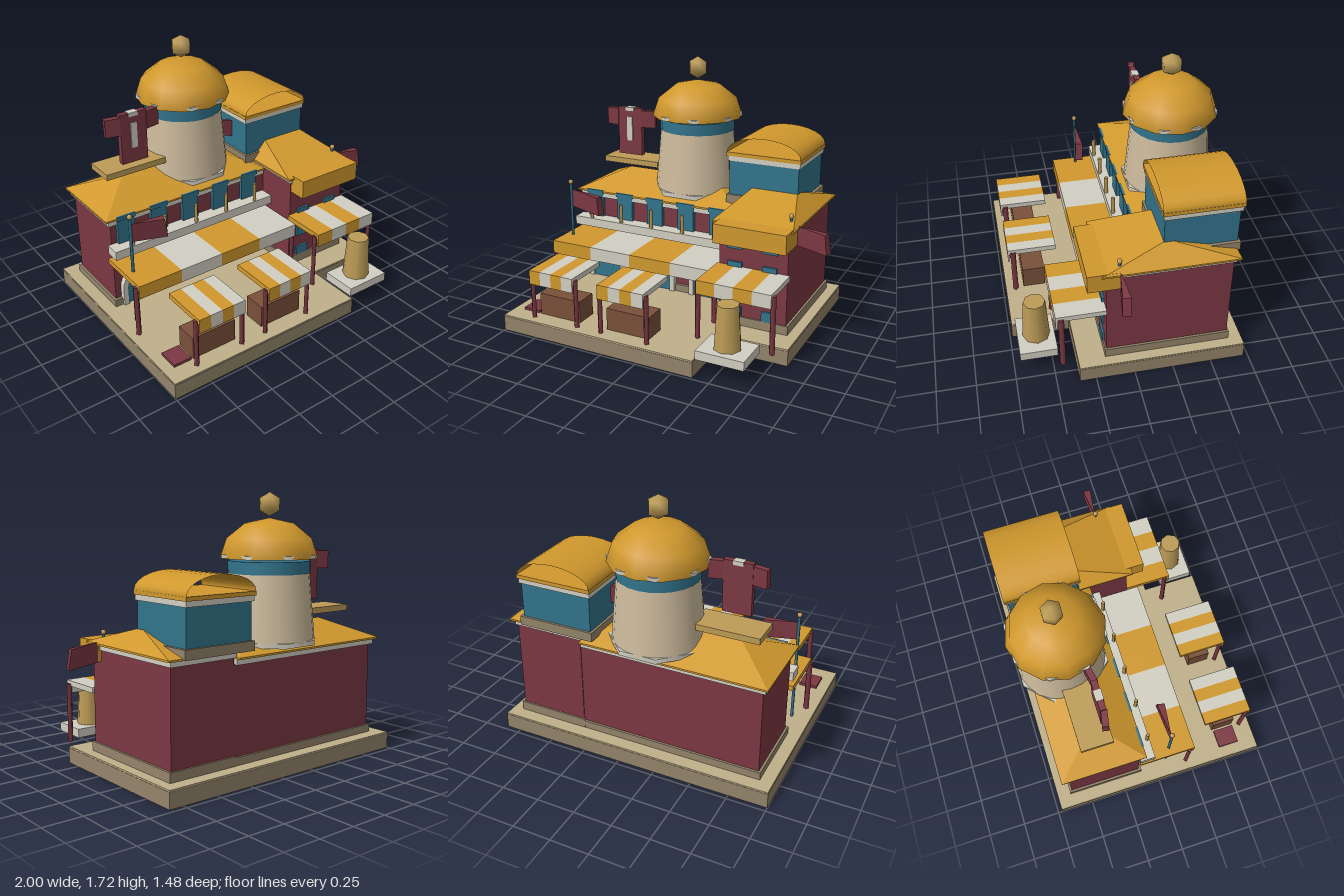
import * as THREE from 'three';
import { ConvexGeometry } from 'three/addons/geometries/ConvexGeometry.js';

const mat = (color, opts = {}) => {
  const m = new THREE.MeshStandardMaterial(opts);
  m.color.set(color);
  return m;
};
const M = {
  stone: mat(0x94846a), sand: mat(0xbfb089), maroon: mat(0x7c3843), teal: mat(0x32748b),
  yellow: mat(0xd0982d), white: mat(0xd2cfc2), plaster: mat(0xcdbb9d), brown: mat(0x79503a),
  gold: mat(0xbd9c57), shell: mat(0xd0982d, { side: THREE.DoubleSide }),
};

export function createModel() {
  const root = new THREE.Group();
  const add = (name, geo, material, x = 0, y = 0, z = 0) => {
    const m = new THREE.Mesh(geo, material);
    m.name = name;
    m.position.set(x, y, z);
    root.add(m);
    return m;
  };
  // box given by its limits on each axis
  const box = (name, material, x0, x1, y0, y1, z0, z1) =>
    add(name, new THREE.BoxGeometry(x1 - x0, y1 - y0, z1 - z0), material,
      (x0 + x1) / 2, (y0 + y1) / 2, (z0 + z1) / 2);
  // upright cylinder or cone from y0 to y1
  const column = (name, material, x, z, y0, y1, rBottom, rTop, sides) =>
    add(name, new THREE.CylinderGeometry(rTop, rBottom, y1 - y0, sides), material, x, (y0 + y1) / 2, z);
  const hull = (name, material, pts) =>
    add(name, new ConvexGeometry(pts.map((p) => new THREE.Vector3(...p))), material);
  // hipped roof with a thin eave edge
  const hipRoof = (name, x0, x1, z0, z1, y, ridgeX0, ridgeX1, ridgeZ, ridgeY) => {
    const pts = [[ridgeX0, ridgeY, ridgeZ], [ridgeX1, ridgeY, ridgeZ]];
    for (const x of [x0, x1]) for (const z of [z0, z1]) pts.push([x, y, z], [x, y - 0.012, z]);
    hull(name, M.yellow, pts);
  };
  // flat awning of four stripes with a hanging front edge and two front posts
  const awning = (name, x0, x1, z0, z1, top, drop, postZ) => {
    const w = (x1 - x0) / 4;
    for (let i = 0; i < 4; i++) {
      const m = i % 2 ? M.white : M.yellow;
      const a = x0 + i * w;
      box(name + 'Stripe', m, a, a + w, top - 0.035, top, z0, z1 - 0.012);
      box(name + 'Valance', m, a, a + w, top - drop, top, z1 - 0.012, z1);
    }
    for (const x of [x0 - 0.002, x1 + 0.002])
      column(name + 'Post', M.maroon, x, postZ, 0.11, top - 0.02, 0.018, 0.018, 4);
  };

  // L-shaped ground slab
  const groundShape = (inset) => new THREE.Shape([
    [-1 + inset, -0.735 + inset], [0.385 - inset, -0.735 + inset], [0.385 - inset, -0.355 + inset],
    [0.845 - inset, -0.355 + inset], [0.845 - inset, 0.72 - inset], [-1 + inset, 0.72 - inset],
  ].map((p) => new THREE.Vector2(...p)));
  const slab = (name, material, inset, y, depth) => {
    const g = new THREE.ExtrudeGeometry(groundShape(inset), { depth, bevelEnabled: false });
    add(name, g.rotateX(-Math.PI / 2), material, 0, y, 0);
  };
  slab('groundSlab', M.stone, 0, 0, 0.1);
  slab('paving', M.sand, 0.002, 0.1, 0.01);

  // long left building
  box('leftPlinth', M.stone, -0.915, 0.29, 0.11, 0.16, -0.63, -0.11);
  box('leftWalls', M.maroon, -0.9, 0.3, 0.16, 0.72, -0.615, -0.13);
  box('leftCornice', M.white, -0.92, 0.29, 0.715, 0.75, -0.635, -0.11);
  hipRoof('leftRoof', -0.94, 0.29, -0.66, -0.1, 0.762, -0.66, 0.02, -0.38, 0.89);
  box('balcony', M.white, -0.925, 0.295, 0.515, 0.575, -0.13, -0.03);
  for (let i = 0; i < 5; i++) {
    const x = -0.8 + i * 0.239;
    box('upperWindow', M.teal, x - 0.06, x + 0.06, 0.575, 0.745, -0.14, -0.105);
    box('windowHead', M.teal, x - 0.065, x + 0.065, 0.74, 0.768, -0.145, -0.098);
    column('balconyPillar', M.gold, x + 0.005, -0.045, 0.56, 0.705, 0.014, 0.014, 4);
  }

  // arched doorways
  const arch = new THREE.Shape();
  arch.moveTo(0.145, 0).lineTo(0.145, 0.12).absarc(0, 0.12, 0.145, 0, Math.PI, false);
  arch.lineTo(-0.145, 0).lineTo(-0.11, 0).lineTo(-0.11, 0.12);
  arch.absarc(0, 0.12, 0.11, Math.PI, 0, true).lineTo(0.11, 0);
  const door = new THREE.Shape();
  door.moveTo(0.12, 0).lineTo(0.12, 0.12).absarc(0, 0.12, 0.12, 0, Math.PI, false).lineTo(-0.12, 0);
  const archGeo = new THREE.ExtrudeGeometry(arch, { depth: 0.05, bevelEnabled: false, curveSegments: 6 });
  const doorGeo = new THREE.ExtrudeGeometry(door, { depth: 0.03, bevelEnabled: false, curveSegments: 6 });
  for (const x of [-0.715, -0.31, 0.095]) {
    add('doorArch', archGeo, M.white, x, 0.112, -0.14);
    add('door', doorGeo, M.teal, x, 0.112, -0.135);
  }

  // taller right building
  box('rightPlinth', M.stone, 0.29, 0.775, 0.11, 0.17, -0.632, 0.18);
  box('rightWalls', M.maroon, 0.3, 0.76, 0.17, 0.77, -0.62, 0.17);
  box('rightCornice', M.white, 0.29, 0.77, 0.76, 0.79, -0.635, 0.182);
  hipRoof('rightRoof', 0.26, 0.795, -0.655, 0.2, 0.805, 0.37, 0.67, -0.22, 0.925);
  box('frontCanopy', M.yellow, 0.305, 0.785, 0.69, 0.815, 0.08, 0.29);
  for (const x of [0.41, 0.645])
    for (let i = 0; i < 4; i++) {
      const y = 0.665 - i * 0.153;
      box('rightWindow', M.teal, x - 0.048, x + 0.048, y - 0.033, y + 0.033, 0.16, 0.185);
    }

  // rooftop room with an open barrel roof
  box('roomLedge', M.stone, 0.185, 0.7, 0.795, 0.855, -0.672, -0.18);
  box('roomWalls', M.teal, 0.2, 0.68, 0.855, 1.09, -0.658, -0.195);
  box('roomCornice', M.white, 0.19, 0.69, 1.086, 1.12, -0.67, -0.187);
  box('roomRoofEdge', M.yellow, 0.183, 0.697, 1.12, 1.145, -0.68, -0.18);
  const barrel = new THREE.CylinderGeometry(1, 1, 0.5, 12, 1, true, -Math.PI / 2, Math.PI);
  barrel.rotateX(-Math.PI / 2).scale(0.255, 0.11, 1);
  add('barrelRoof', barrel, M.shell, 0.44, 1.145, -0.43);

  // domed tower
  const tx = -0.15, tz = -0.43;
  column('towerBody', M.plaster, tx, tz, 0.8, 1.22, 0.29, 0.253, 24);
  column('towerBand', M.teal, tx, tz, 1.22, 1.297, 0.257, 0.257, 24);
  column('towerFootRing', M.white, tx, tz, 0.785, 0.815, 0.31, 0.31, 8).rotation.y = Math.PI / 8;
  column('domeRing', M.white, tx, tz, 1.312, 1.335, 0.31, 0.31, 8).rotation.y = Math.PI / 8;
  const dome = new THREE.SphereGeometry(0.31, 12, 3, 0, Math.PI * 2, 0, Math.PI / 2).scale(1, 0.79, 1);
  add('dome', dome, M.shell, tx, 1.312, tz);
  add('finial', new THREE.SphereGeometry(0.075, 6, 3), M.gold, tx, 1.64, tz);
  hull('towerPennant', M.maroon, [
    [0.1, 1.07, -0.38], [0.1, 0.96, -0.38], [0.2, 1.05, -0.4], [0.2, 1.05, -0.36],
    [0.2, 0.935, -0.4], [0.2, 0.935, -0.36],
  ]);

  // hanging robe-shaped sign above its shelf
  box('signShelf', M.gold, -0.82, -0.39, 0.935, 0.975, -0.49, -0.28);
  box('signBody', M.maroon, -0.7, -0.515, 1.01, 1.345, -0.325, -0.285);
  for (const s of [-1, 1]) {
    const sleeve = add('signSleeve', new THREE.BoxGeometry(0.1, 0.118, 0.04), M.maroon,
      -0.607 + s * 0.137, 1.272, -0.31);
    sleeve.rotation.y = s * 0.2;
  }
  box('signStrip', M.white, -0.63, -0.587, 1.11, 1.28, -0.3, -0.278);
  box('signCollar', M.white, -0.64, -0.575, 1.322, 1.348, -0.33, -0.28);

  // flagpoles
  const flag = (x, yBase) => {
    const z = 0.085;
    column('flagPole', M.teal, x, z, yBase, 0.86, 0.01, 0.01, 6);
    add('poleBall', new THREE.SphereGeometry(0.017, 8, 6), M.gold, x, 0.868, z);
    hull('flag', M.maroon, [
      [x + 0.01, 0.815, z], [x + 0.01, 0.69, z],
      [x + 0.235, 0.788, z - 0.02], [x + 0.225, 0.788, z + 0.03],
      [x + 0.255, 0.662, z - 0.015], [x + 0.24, 0.662, z + 0.035],
    ]);
  };
  flag(-0.875, 0.11);
  flag(0.74, 0.7);

  // awnings and market stalls
  awning('longAwning', -0.93, 0.285, -0.13, 0.25, 0.48, 0.09, 0.215);
  awning('entranceAwning', 0.285, 0.775, 0.17, 0.485, 0.512, 0.09, 0.45);
  for (const x of [-0.8, -0.29]) {
    awning('stallAwning', x, x + 0.327, 0.375, 0.7, 0.452, 0.095, 0.665);
    box('stallCounter', M.brown, x + 0.01, x + 0.317, 0.11, 0.257, 0.46, 0.61);
  }
  box('groundMat', M.maroon, -0.925, -0.805, 0.11, 0.127, 0.47, 0.61);

  // pedestal with a tapered post
  box('pedestal', M.white, 0.39, 0.705, 0.112, 0.17, 0.47, 0.71);
  column('pedestalPost', M.gold, 0.547, 0.587, 0.17, 0.455, 0.088, 0.07, 8);

  return root;
}
